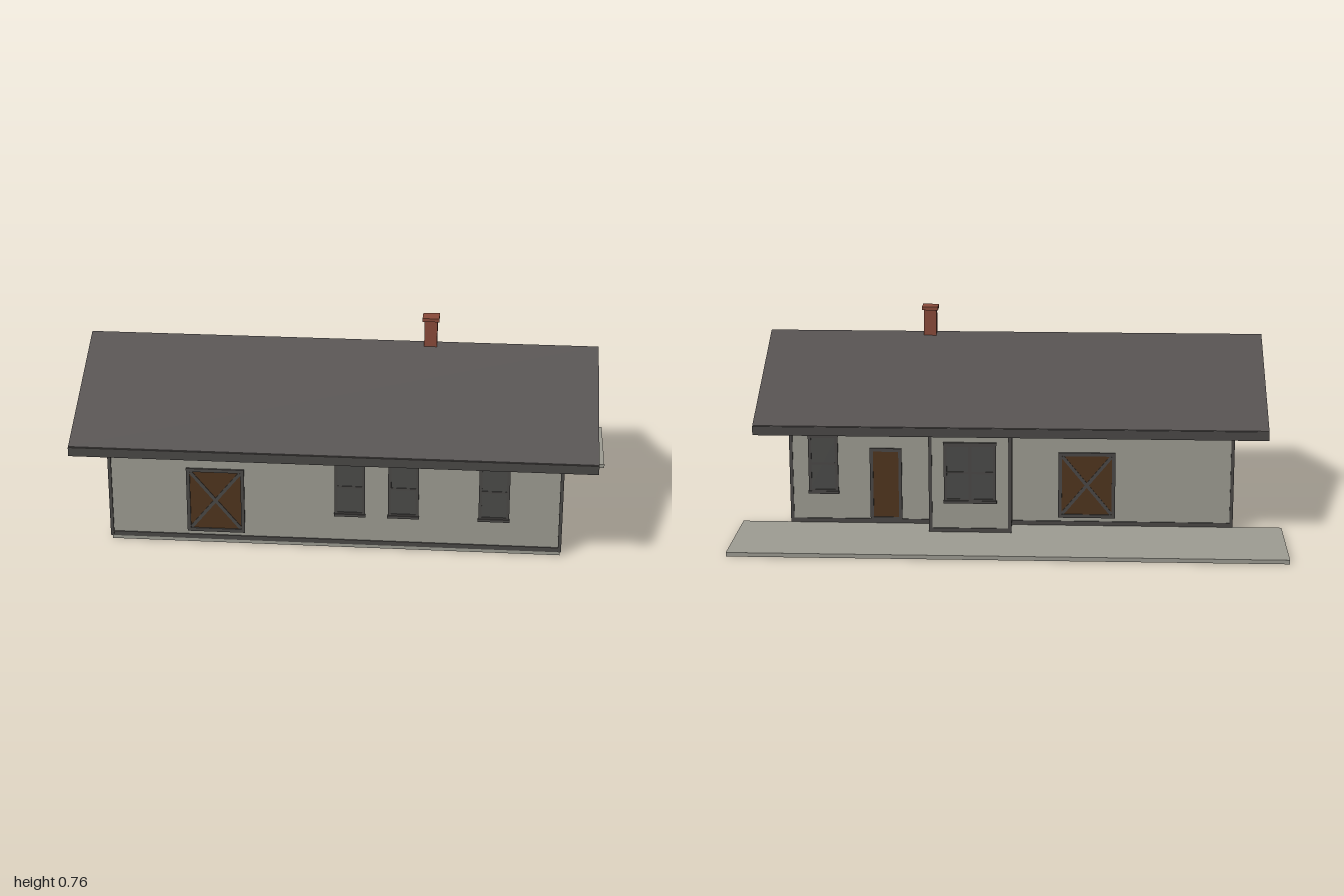
import * as THREE from 'three';

const mat = (name, color, side = THREE.FrontSide) => {
  const m = new THREE.MeshStandardMaterial({ color, side });
  m.name = name;
  return m;
};

export function createModel() {
  const wall = mat('wall grey', 0x9f9e94);
  const concrete = mat('platform concrete', 0x9e9d93);
  const roofMat = mat('roof shingle', 0x54504f);
  const trim = mat('dark trim', 0x4b4947);
  const glass = mat('window glass', 0x4c4c4a);
  const wood = mat('door wood', 0x50351e);
  const brick = mat('chimney brick', 0x8a4b3a);

  const model = new THREE.Group();
  model.name = 'house';

  // box given by its two extreme corners
  const box = (name, m, [x0, y0, z0], [x1, y1, z1], parent = model) => {
    const mesh = new THREE.Mesh(new THREE.BoxGeometry(x1 - x0, y1 - y0, z1 - z0), m);
    mesh.position.set((x0 + x1) / 2, (y0 + y1) / 2, (z0 + z1) / 2);
    mesh.name = name;
    parent.add(mesh);
    return mesh;
  };

  // profile of [z, y] points extruded along x
  const prism = (name, m, pts, x0, x1) => {
    const shape = new THREE.Shape(pts.map(([z, y]) => new THREE.Vector2(-z, y)));
    const geo = new THREE.ExtrudeGeometry(shape, { depth: x1 - x0, bevelEnabled: false });
    geo.rotateY(Math.PI / 2).translate(x0, 0, 0);
    const mesh = new THREE.Mesh(geo, m);
    mesh.name = name;
    model.add(mesh);
  };

  const W = 0.815, ZF = 0.505, ZB = -0.255, ZC = 0.125;
  const BAY = { x0: 0, x1: 0.29, z: -0.355 };

  // ground slab and rear platform
  box('floorSlab', concrete, [-W, 0, ZB], [W, 0.015, ZF]);
  box('platform', concrete, [-1, 0, -0.625], [1, 0.015, ZB]);

  // walls with gables, and the rear bay
  prism('walls', wall, [[ZF, 0.015], [ZF, 0.455], [ZC, 0.646], [ZB, 0.455], [ZB, 0.015]], -W, W);
  box('bay', wall, [BAY.x0, 0.015, BAY.z], [BAY.x1, 0.407, ZB]);

  // roof with dark gable edges
  prism('roof', [trim, roofMat], [
    [0.62, 0.415], [ZC, 0.663], [-0.37, 0.415], [-0.37, 0.397], [ZC, 0.645], [0.62, 0.397],
  ], -0.935, 0.935);
  box('frontFascia', trim, [-0.935, 0.38, 0.615], [0.935, 0.413, 0.625]);
  box('backFascia', trim, [-0.935, 0.38, -0.375], [0.935, 0.413, -0.365]);

  // base boards
  const e = 0.004;
  box('baseBoard', trim, [-W - e, 0.014, ZB - e], [W + e, 0.031, ZF + e]);
  box('bayBaseBoard', trim, [BAY.x0 - e, 0.016, BAY.z - e], [BAY.x1 + e, 0.031, ZB]);

  // corner boards
  const post = (name, x, z, top) =>
    box(name, trim, [x - 0.006, 0.016, z - 0.006], [x + 0.006, top, z + 0.006]);
  for (const x of [-W + 0.001, W - 0.001]) {
    post('cornerBoard', x, ZF - 0.001, 0.455);
    post('cornerBoard', x, ZB + 0.001, 0.455);
  }
  for (const x of [BAY.x0, BAY.x1]) {
    post('bayCornerBoard', x, BAY.z + 0.001, 0.407);
    post('bayInnerBoard', x, ZB, 0.43);
  }

  // triangular brackets under the gable overhangs
  for (const side of [-1, 1]) for (const z of [0.44, -0.18]) {
    const s = new THREE.Shape([[0.812, 0.415], [0.91, 0.487], [0.812, 0.487]]
      .map(([x, y]) => new THREE.Vector2(x * side, y)));
    const geo = new THREE.ExtrudeGeometry(s, { depth: 0.01, bevelEnabled: false });
    const mesh = new THREE.Mesh(geo, trim);
    mesh.position.z = z - 0.005;
    mesh.name = 'roofBracket';
    model.add(mesh);
  }

  // group lying on a wall, local +z pointing outward
  const onWall = (name, x, y, z, turn) => {
    const g = new THREE.Group();
    g.name = name;
    g.position.set(x, y, z);
    g.rotation.y = turn;
    model.add(g);
    return g;
  };
  const frame = (g, w, h, t, d) => {
    for (const s of [-1, 1]) {
      const x = s * (w - t) / 2, y = s * (h - t) / 2;
      box('frameSide', trim, [x - t / 2, -h / 2, 0], [x + t / 2, h / 2, d], g);
      box('frameRail', trim, [-w / 2 + t, y - t / 2, 0], [w / 2 - t, y + t / 2, d], g);
    }
  };

  // windows: glass, frame, middle bars and sills
  const makeWindow = (x, y, z, turn, w, h, mullion = false) => {
    const g = onWall('window', x, y, z, turn);
    box('glass', glass, [-w / 2 + 0.004, -h / 2 + 0.004, -0.002], [w / 2 - 0.004, h / 2 - 0.004, 0.002], g);
    frame(g, w - 0.004, h, 0.011, 0.006);
    box('middleRail', trim, [-w / 2 + 0.01, -0.004, 0], [w / 2 - 0.01, 0.004, 0.005], g);
    if (mullion) box('mullion', trim, [-0.006, -h / 2 + 0.01, 0], [0.006, h / 2 - 0.01, 0.0055], g);
    for (const s of [-1, 1])
      box('sill', trim, [-w / 2, s * h / 2 - 0.005, 0], [w / 2, s * h / 2 + 0.005, 0.01], g);
  };
  for (const x of [0.057, 0.25, 0.575]) makeWindow(x, 0.242, ZF, 0, 0.114, 0.22);
  makeWindow(0.695, 0.242, ZB, Math.PI, 0.114, 0.22);
  makeWindow(0.145, 0.242, BAY.z, Math.PI, 0.195, 0.22, true);
  for (const s of [-1, 1]) makeWindow(s * W, 0.319, ZC, s * Math.PI / 2, 0.19, 0.112);

  // freight doors with crossed braces
  const freightDoor = (x, z, turn) => {
    const w = 0.21, h = 0.25, g = onWall('freightDoor', x, 0.17, z, turn);
    box('panel', wood, [-w / 2 + 0.005, -h / 2 + 0.005, -0.002], [w / 2 - 0.005, h / 2 - 0.005, 0.002], g);
    frame(g, w, h, 0.013, 0.007);
    const a = Math.atan2(h - 0.026, w - 0.026), len = Math.hypot(h - 0.03, w - 0.03);
    for (const s of [-1, 1])
      box('brace', trim, [-len / 2, -0.006, 0], [len / 2, 0.006, 0.005 + s * 0.0003], g).rotation.z = s * a;
  };
  freightDoor(-0.43, ZF, 0);
  freightDoor(-0.28, ZB, Math.PI);

  // rear entrance door
  const door = onWall('entranceDoor', 0.463, 0.165, ZB, Math.PI);
  box('panel', wood, [-0.052, -0.135, -0.002], [0.052, 0.135, 0.003], door);
  frame(door, 0.118, 0.276, 0.012, 0.007);

  // chimney
  box('chimney', brick, [0.3, 0.62, 0.102], [0.347, 0.752, 0.148]);
  box('chimneyCap', brick, [0.293, 0.75, 0.095], [0.354, 0.763, 0.155]);

  return model;
}
